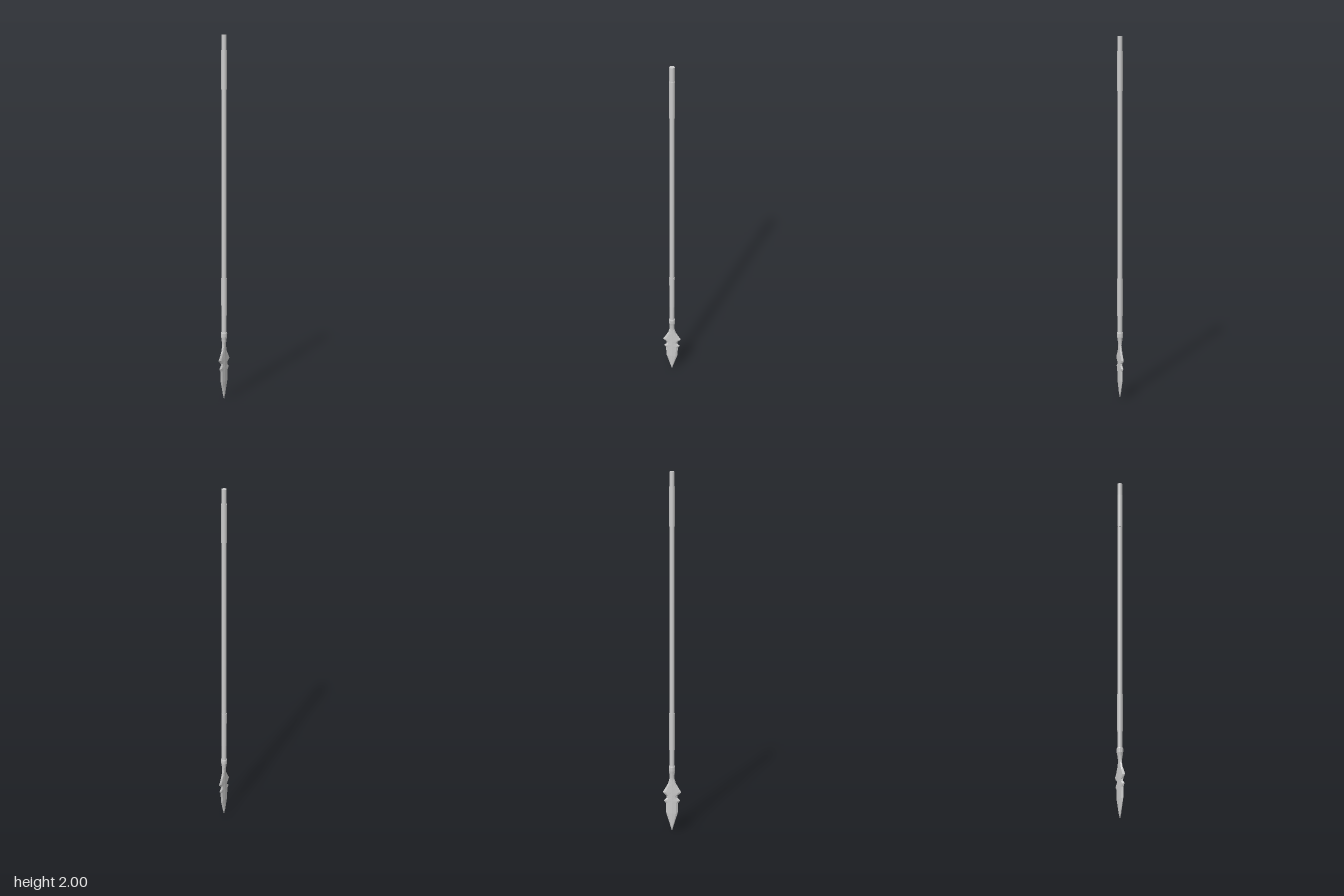
import * as THREE from 'three';

const grey = new THREE.MeshStandardMaterial({ color: 0xcccccc });
const greyFlat = new THREE.MeshStandardMaterial({ color: 0xcccccc, flatShading: true });

function rod(name, radius, y0, y1) {
  const mesh = new THREE.Mesh(new THREE.CylinderGeometry(radius, radius, y1 - y0, 16), grey);
  mesh.position.y = (y0 + y1) / 2;
  mesh.name = name;
  return mesh;
}

// Joins equal-length cross-sections, listed upwards, into a faceted skin
function loft(rings) {
  const pos = [];
  const n = rings[0].length;
  for (let i = 0; i < rings.length - 1; i++) {
    for (let j = 0; j < n; j++) {
      const k = (j + 1) % n;
      const a = rings[i][j], b = rings[i][k], d = rings[i + 1][j], e = rings[i + 1][k];
      pos.push(...a, ...d, ...b, ...b, ...d, ...e);
    }
  }
  const geo = new THREE.BufferGeometry();
  geo.setAttribute('position', new THREE.Float32BufferAttribute(pos, 3));
  geo.computeVertexNormals();
  return geo;
}

export function createModel() {
  const group = new THREE.Group();
  group.name = 'spear';

  // Shaft with two wrapped grips
  group.add(rod('shaft', 0.0138, 0.36, 2));
  group.add(rod('upperGrip', 0.0155, 1.71, 1.92));
  group.add(rod('lowerGrip', 0.0155, 0.475, 0.685));

  // Blade outline: height, half width, half thickness at the ridge
  const outline = [
    [0, 0, 0], [0.03, 0.009, 0.005], [0.105, 0.032, 0.008], [0.165, 0.035, 0.008],
    [0.18, 0.046, 0.008], [0.195, 0.031, 0.008], [0.207, 0.031, 0.008],
    [0.228, 0.052, 0.008], [0.25, 0.039, 0.008], [0.28, 0.022, 0.008],
    [0.305, 0.015, 0.008],
  ];
  const blade = new THREE.Mesh(loft(outline.map(([y, w, t]) => {
    const s = w * 0.68, u = t * 0.8;
    return [[w, y, 0], [s, y, u], [0, y, t], [-s, y, u],
      [-w, y, 0], [-s, y, -u], [0, y, -t], [s, y, -u]];
  })), greyFlat);
  blade.name = 'blade';
  group.add(blade);

  // Socket: flattened at the blade, round with a collar at the shaft
  const sections = [
    [0.3, 0.015, 0.008], [0.315, 0.0135, 0.0095], [0.34, 0.0155, 0.0135],
    [0.355, 0.0178, 0.0165], [0.376, 0.0178, 0.0178], [0.382, 0.0165, 0.0165],
    [0.382, 0.0135, 0.0135],
  ];
  const socket = new THREE.Mesh(loft(sections.map(([y, rx, rz]) =>
    Array.from({ length: 12 }, (_, i) => {
      const a = (i / 12) * Math.PI * 2;
      return [rx * Math.cos(a), y, rz * Math.sin(a)];
    }))), greyFlat);
  socket.name = 'socket';
  group.add(socket);

  return group;
}
